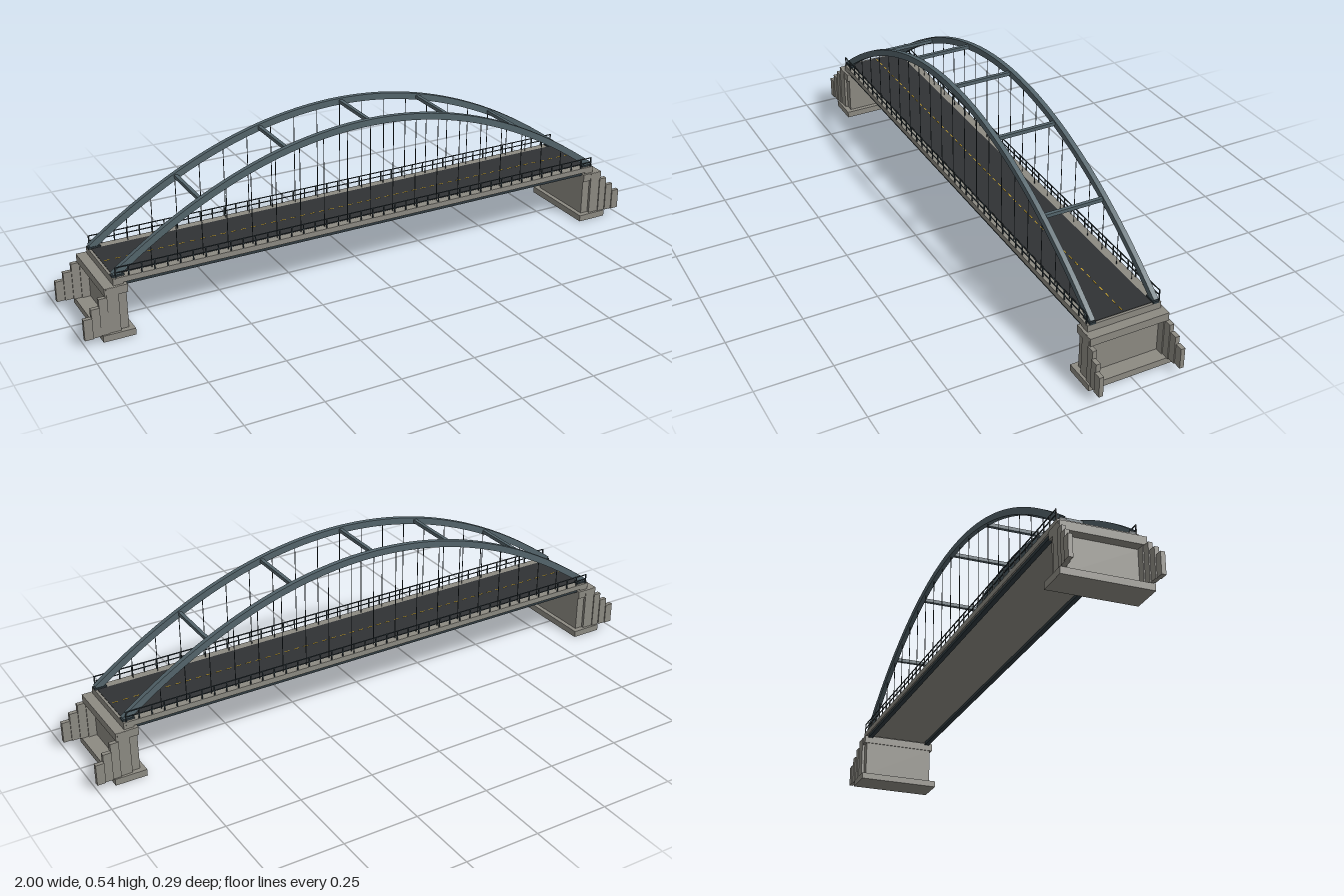
import * as THREE from 'three';

const mat = (color) => new THREE.MeshStandardMaterial({ color });
const concrete = mat(0x8c8a82);
const steel = mat(0x53646b);
const darkSteel = mat(0x2f3a3f);
const asphalt = mat(0x303234);
const paint = mat(0xc9a227);

const HALF = 0.885;      // half span of deck and arches
const DECK = 0.197;      // top of deck
const ARCH_Z = 0.107;    // arch plane
const RAIL_Z = 0.123;    // railing plane
const archY = (x) => 0.2 + 0.33 * (1 - (x / HALF) ** 2);

export function createModel() {
  const model = new THREE.Group();

  // box given by its limits on each axis
  const box = (name, parent, m, x0, x1, y0, y1, z0, z1) => {
    const mesh = new THREE.Mesh(new THREE.BoxGeometry(x1 - x0, y1 - y0, Math.abs(z1 - z0)), m);
    mesh.position.set((x0 + x1) / 2, (y0 + y1) / 2, (z0 + z1) / 2);
    mesh.name = name;
    parent.add(mesh);
    return mesh;
  };
  const group = (name) => {
    const g = new THREE.Group();
    g.name = name;
    model.add(g);
    return g;
  };

  // deck, road surface and centre dashes
  const deck = group('deck');
  box('deckSlab', deck, concrete, -HALF, HALF, 0.179, DECK, -0.125, 0.125);
  box('roadSurface', deck, asphalt, -HALF, HALF, DECK - 0.002, DECK + 0.001, -0.097, 0.097);
  const dashes = 50;
  for (let i = 0; i < dashes; i++) {
    const x = -HALF + (i + 0.5) * (2 * HALF / dashes);
    box('centreDash', deck, paint, x - 0.009, x + 0.009, DECK, DECK + 0.0016, -0.0015, 0.0015);
  }

  // arch outline: parabola offset to both sides of its centre line
  const upper = [], lower = [];
  const steps = 48, halfDepth = 0.011;
  for (let i = 0; i <= steps; i++) {
    const x = -HALF + (2 * HALF * i) / steps;
    const slope = -0.66 * x / HALF ** 2;
    const len = Math.hypot(1, slope);
    const nx = -slope / len * halfDepth, ny = halfDepth / len;
    upper.push(new THREE.Vector2(x + nx, archY(x) + ny));
    lower.push(new THREE.Vector2(x - nx, archY(x) - ny));
  }
  const archShape = new THREE.Shape([...lower, ...upper.reverse()]);
  const archGeo = new THREE.ExtrudeGeometry(archShape, { depth: 0.016, bevelEnabled: false });
  archGeo.translate(0, 0, -0.008);

  for (const s of [-1, 1]) {
    const side = s > 0 ? 'front' : 'back';

    // arch rib, tie girder below it and base plates
    const arch = group(side + 'Arch');
    const rib = new THREE.Mesh(archGeo, steel);
    rib.name = 'archRib';
    rib.position.z = s * ARCH_Z;
    arch.add(rib);
    box('tieGirder', arch, darkSteel, -0.85, 0.85, 0.168, 0.182, s * 0.104, s * 0.12);
    for (const e of [-1, 1]) {
      box('basePlate', arch, darkSteel, e * 0.873 - 0.02, e * 0.873 + 0.02, DECK - 0.002, 0.203, s * 0.097, s * 0.117);
    }

    // hangers
    for (let k = -9; k <= 9; k++) {
      const x = k * 0.0845, h = archY(x) - DECK;
      const hanger = new THREE.Mesh(new THREE.CylinderGeometry(0.0013, 0.0013, h, 6), darkSteel);
      hanger.position.set(x, DECK + h / 2, s * ARCH_Z);
      hanger.name = 'hanger';
      arch.add(hanger);
    }

    // railing
    const railing = group(side + 'Railing');
    const z0 = s * (RAIL_Z - 0.0015), z1 = s * (RAIL_Z + 0.0015);
    for (const y of [0.214, 0.231]) {
      box('rail', railing, darkSteel, -HALF, HALF, y - 0.0013, y + 0.0013, z0, z1);
    }
    for (let i = 0; i <= 42; i++) {
      const x = -HALF + 0.002 + i * (2 * HALF - 0.004) / 42;
      box('railPost', railing, darkSteel, x - 0.0018, x + 0.0018, DECK, 0.2325, z0, z1);
    }
  }

  // cross braces between the arches
  const bracing = group('crossBraces');
  for (let k = -2; k <= 2; k++) {
    const x = k * 0.295, y = archY(x);
    box('crossBrace', bracing, steel, x - 0.006, x + 0.006, y - 0.006, y + 0.006, -0.1, 0.1);
  }

  // abutments with stepped, slightly flared wing walls
  for (const e of [-1, 1]) {
    const abutment = group(e > 0 ? 'leftAbutment' : 'rightAbutment');
    const part = (name, a, b, y0, y1, z0, z1) =>
      box(name, abutment, concrete, Math.min(e * a, e * b), Math.max(e * a, e * b), y0, y1, z0, z1);
    part('footing', 0.837, 0.942, 0, 0.022, -0.143, 0.143);
    part('wall', 0.853, 0.893, 0.022, 0.147, -0.125, 0.125);
    part('bearingCap', 0.85, 0.925, 0.147, 0.174, -0.133, 0.133);
    part('backWall', 0.86, 0.893, 0.174, DECK - 0.0005, -0.1245, 0.1245);
    for (const s of [-1, 1]) {
      for (let i = 0; i < 4; i++) {
        const a = 0.893 + i * 0.02675, z = 0.12 + i * 0.0035;
        part('wingWall', a - (i ? 0.001 : 0.012), a + 0.02675, 0.022, 0.1735 - i * 0.027, s * z, s * (z + 0.0142));
      }
    }
  }
  return model;
}
